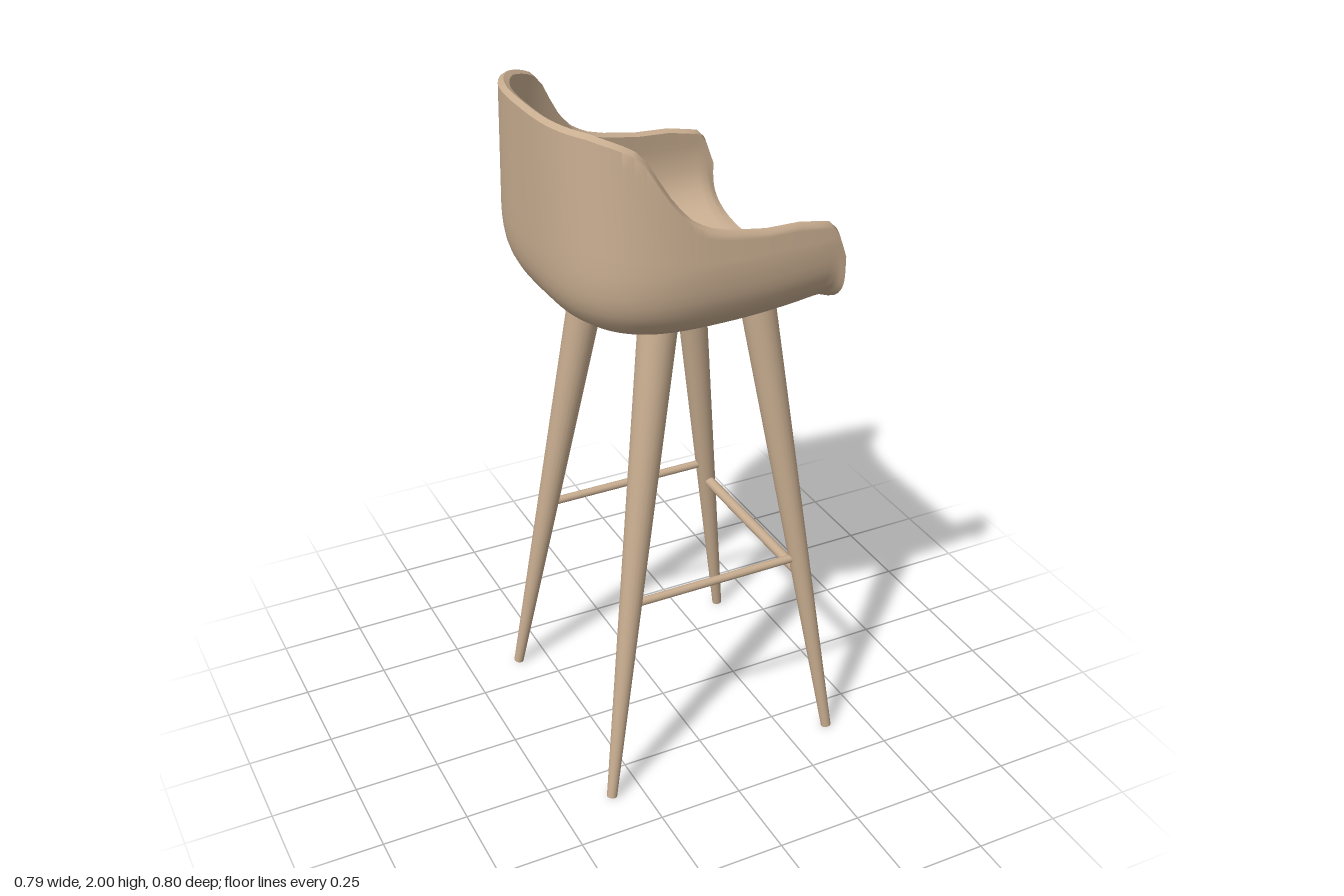
import * as THREE from 'three';
import { toCreasedNormals } from 'three/addons/utils/BufferGeometryUtils.js';

const wood = new THREE.MeshStandardMaterial({ color: 0xc8ad90 });
wood.name = 'tan';

// Rim height as a function of depth: high back sweeping down to low arms
const RIM = [[-0.4, 2], [-0.34, 1.995], [-0.28, 1.975], [-0.23, 1.95], [-0.19, 1.88], [-0.15, 1.815],
  [-0.1, 1.765], [-0.05, 1.742], [0, 1.73], [0.1, 1.715], [0.2, 1.712], [0.29, 1.695], [0.315, 1.67], [0.34, 1.6]];
function rimHeight(x) {
  for (let i = 1; i < RIM.length; i++) {
    const [x0, y0] = RIM[i - 1], [x1, y1] = RIM[i];
    if (x <= x1) return y0 + (y1 - y0) * Math.max(0, (x - x0) / (x1 - x0));
  }
  return RIM[RIM.length - 1][1];
}

// Point on a unit squircle quarter or half, at angle a
function squircle(a) {
  const c = Math.cos(a), s = Math.sin(a);
  const r = Math.pow(Math.abs(c) ** 3 + Math.abs(s) ** 3, -1 / 3);
  return [c * r, s * r];
}

// U-shaped plan: along one arm, round the back, along the other arm
function planPath() {
  const arm = [0.34, 0.328, 0.315, 0.29, 0.25, 0.2, 0.15, 0.1, 0.05].map((x) => [x, 0.4 - 0.15 * x * x]);
  const back = [];
  for (let i = 0; i <= 48; i++) {
    const [z, x] = squircle((Math.PI * i) / 48);
    back.push([-0.4 * x, 0.4 * z]);
  }
  return [...arm, ...back, ...arm.map(([x, z]) => [x, -z]).reverse()];
}

// Bucket shell with an outer skin, rounded rim, inner skin and front lip
function shellGeometry() {
  const BOWL = 14, WALL = 6, skin = BOWL + WALL + 1;
  const path = planPath(), verts = [], index = [];

  const place = ([px, pz], j, inset, lift, drop) => {
    const H = rimHeight(px) - drop;
    const bowlTop = Math.min(1.64, H - 0.03);
    const base = 1.39 + 0.025 * Math.max(0, px / 0.34) ** 2;
    let f = 1, y;
    if (j <= BOWL) {
      const [up, out] = squircle((Math.PI / 2) * (j / BOWL));
      f = out;
      y = base + (bowlTop - base) * (1 - up);
    } else {
      y = bowlTop + (H - bowlTop) * ((j - BOWL) / WALL);
    }
    y += lift * (1 - j / (BOWL + WALL));
    const lean = 1 - 0.24 * Math.max(0, y - 1.64);
    const k = 1 - inset / 0.4;
    const low = px < 0 && j <= BOWL ? 0.965 + 0.035 * (j / BOWL) : 1;
    const x = px > 0 ? px : px * f * k * low;
    verts.push(x, y, pz * f * k * lean);
  };

  for (const p of path) {
    for (let j = 0; j < skin; j++) place(p, j, 0, 0, 0.01);
    place(p, skin - 1, 0.014, 0, 0);
    for (let j = skin - 1; j >= 0; j--) place(p, j, 0.028, 0.035, 0.01);
  }
  const M = 2 * skin + 1, N = path.length;
  for (let i = 0; i < N - 1; i++) {
    for (let j = 0; j < M - 1; j++) {
      const a = i * M + j, b = a + M;
      index.push(a, a + 1, b, b, a + 1, b + 1);
    }
  }
  // Front lip closing the two skins
  for (let j = 0; j < skin; j++) {
    const o = j, n = M - 1 - j, e = (N - 1) * M;
    index.push(o, n, o + 1, o + 1, n, n - 1);
    index.push(e + o, e + o + 1, e + n, e + o + 1, e + n - 1, e + n);
  }
  const g = new THREE.BufferGeometry();
  g.setAttribute('position', new THREE.Float32BufferAttribute(verts, 3));
  g.setIndex(index);
  return toCreasedNormals(g, 0.9);
}

// Tapered round bar between two points
function bar(name, from, to, rFrom, rTo, sides) {
  const dir = to.clone().sub(from);
  const mesh = new THREE.Mesh(new THREE.CylinderGeometry(rTo, rFrom, dir.length(), sides), wood);
  mesh.position.copy(from).addScaledVector(dir, 0.5);
  mesh.quaternion.setFromUnitVectors(new THREE.Vector3(0, 1, 0), dir.normalize());
  mesh.name = name;
  return mesh;
}

export function createModel() {
  const group = new THREE.Group();
  group.name = 'barStool';

  const shell = new THREE.Mesh(shellGeometry(), wood);
  shell.name = 'seatShell';
  group.add(shell);

  // Splayed tapered legs
  const leg = (front, side) => ({
    foot: new THREE.Vector3(front ? 0.38 : -0.342, 0.003, 0.357 * side),
    top: new THREE.Vector3(front ? 0.18 : -0.12, 1.412, 0.21 * side),
  });
  const at = (l, y) => l.foot.clone().lerp(l.top, y / 1.41);
  for (const front of [true, false]) {
    for (const side of [1, -1]) {
      const l = leg(front, side);
      group.add(bar(front ? 'frontLeg' : 'backLeg', l.foot, l.top, 0.015, front ? 0.049 : 0.054, 20));
    }
  }

  // Side stretchers and the lower front footrest
  for (const side of [1, -1]) {
    group.add(bar('sideStretcher', at(leg(false, side), 0.61), at(leg(true, side), 0.61), 0.012, 0.012, 12));
  }
  group.add(bar('footrest', at(leg(true, 1), 0.545), at(leg(true, -1), 0.545), 0.016, 0.016, 12));
  return group;
}
